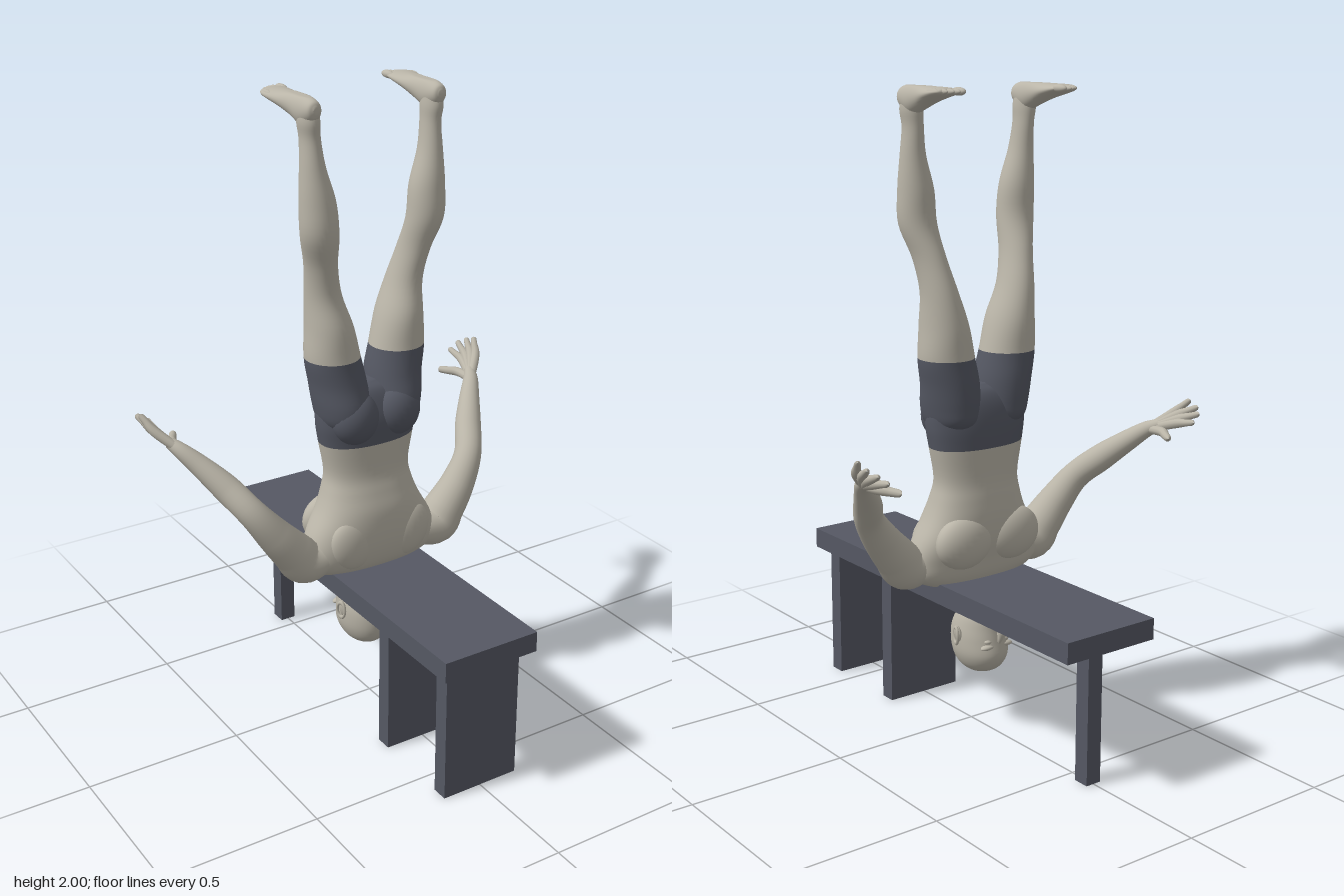
import * as THREE from 'three';

const skin = new THREE.MeshStandardMaterial({ color: 0xbab5a8 });
skin.name = 'skin';
const slate = new THREE.MeshStandardMaterial({ color: 0x555863 });
slate.name = 'slate';

// Smooth skin through horizontal rings [y, centre x, centre z, radius x, radius z].
// Rows before ring `split` use material 0, later rows material 1.
function loft(rings, { sides = 32, power = 2, split = 0 } = {}) {
  const steps = 5, rows = (rings.length - 1) * steps;
  const curve = (f) => new THREE.CatmullRomCurve3(rings.map(f), false, 'catmullrom');
  const centres = curve((r) => new THREE.Vector3(r[1], r[0], r[2]));
  const radii = curve((r) => new THREE.Vector3(r[3], r[4], 0));
  const bend = (v) => Math.sign(v) * Math.abs(v) ** (2 / power);
  const pos = [], index = [];
  for (let j = 0; j <= rows; j++) {
    const c = centres.getPoint(j / rows), r = radii.getPoint(j / rows);
    for (let i = 0; i < sides; i++) {
      const a = (i / sides) * Math.PI * 2;
      pos.push(c.x + r.x * bend(Math.cos(a)), c.y, c.z + r.y * bend(Math.sin(a)));
      if (j === rows) continue;
      const p = j * sides + i, q = j * sides + ((i + 1) % sides);
      index.push(p, p + sides, q, q, p + sides, q + sides);
    }
  }
  // end caps
  for (let i = 1; i < sides - 1; i++) {
    const e = rows * sides;
    index.push(e, e + i + 1, e + i, 0, i, i + 1);
  }
  const geo = new THREE.BufferGeometry();
  geo.setAttribute('position', new THREE.Float32BufferAttribute(pos, 3));
  geo.setIndex(index);
  geo.computeVertexNormals();
  if (split) {
    const cut = split * steps * sides * 6;
    geo.addGroup(0, cut, 0);
    geo.addGroup(cut, index.length - cut, 1);
  }
  return geo;
}

// Tapered tube through points [x, y, z, radius].
function limb(points, sides = 16) {
  const curve = new THREE.CatmullRomCurve3(points.map((p) => new THREE.Vector3(p[0], p[1], p[2])));
  curve.getPointAt = curve.getPoint;
  curve.getTangentAt = curve.getTangent;
  const radii = new THREE.CatmullRomCurve3(points.map((p) => new THREE.Vector3(p[3], 0, 0)), false, 'catmullrom');
  const rows = (points.length - 1) * 5;
  const geo = new THREE.TubeGeometry(curve, rows, 1, sides);
  const p = geo.attributes.position, n = geo.attributes.normal;
  for (let i = 0; i < p.count; i++) {
    const k = radii.getPoint(Math.floor(i / (sides + 1)) / rows).x - 1;
    p.setXYZ(i, p.getX(i) + n.getX(i) * k, p.getY(i) + n.getY(i) * k, p.getZ(i) + n.getZ(i) * k);
  }
  return geo;
}

function ellipsoid(x, y, z, rx, ry, rz, tilt = 0) {
  return new THREE.SphereGeometry(1, 24, 16).scale(rx, ry, rz).rotateZ(tilt).translate(x, y, z);
}

function mirrored(geo) {
  const g = geo.clone().scale(-1, 1, 1), ix = g.index;
  for (let i = 0; i < ix.count; i += 3) {
    const a = ix.getX(i);
    ix.setX(i, ix.getX(i + 1));
    ix.setX(i + 1, a);
  }
  return g;
}

export function createModel() {
  const model = new THREE.Group();
  model.name = 'figureOnBench';
  const group = (name) => {
    const g = new THREE.Group();
    g.name = name;
    model.add(g);
    return g;
  };
  const add = (parent, name, geo, mat = skin) => {
    const m = new THREE.Mesh(geo, mat);
    m.name = name;
    parent.add(m);
  };
  const pair = (parent, name, geo, mat) => {
    add(parent, name + 'Left', geo, mat);
    add(parent, name + 'Right', mirrored(geo), mat);
  };

  // Bench: top, two wide panels and one narrow post
  const bench = group('bench');
  const box = (name, w, h, d, y, z) =>
    add(bench, name, new THREE.BoxGeometry(w, h, d).translate(0, y, z), slate);
  box('benchTop', 0.326, 0.065, 1.32, 0.467, 0);
  box('endPanel', 0.26, 0.435, 0.052, 0.2175, 0.595);
  box('innerPanel', 0.26, 0.435, 0.052, 0.2175, 0.287);
  box('post', 0.052, 0.435, 0.052, 0.2175, -0.568);

  // Torso, with shorts from the waist upwards
  const body = group('body');
  add(body, 'torsoAndShorts', loft([
    [0.462, 0, -0.02, 0.06, 0.04], [0.485, 0, -0.01, 0.17, 0.062],
    [0.52, 0, -0.005, 0.232, 0.086], [0.57, 0, -0.003, 0.235, 0.1],
    [0.63, 0, -0.008, 0.215, 0.11], [0.70, 0, -0.012, 0.175, 0.11],
    [0.76, 0, -0.018, 0.152, 0.1], [0.82, 0, -0.022, 0.142, 0.09],
    [0.92, 0, -0.022, 0.16, 0.092], [0.99, 0, -0.02, 0.171, 0.093],
    [1.05, 0, -0.022, 0.165, 0.08], [1.09, 0, -0.022, 0.11, 0.06],
    [1.11, 0, -0.022, 0.03, 0.03],
  ], { sides: 48, power: 2.3, split: 8 }), [skin, slate]);
  pair(body, 'chestMuscle', ellipsoid(0.092, 0.63, -0.085, 0.1, 0.085, 0.055));
  pair(body, 'shoulderBlade', ellipsoid(0.1, 0.6, 0.06, 0.08, 0.09, 0.042, -0.3));
  pair(body, 'buttock', ellipsoid(0.075, 1.01, 0.035, 0.078, 0.085, 0.066), slate);

  // Legs, with shorts up to mid thigh
  const legs = group('legs');
  pair(legs, 'leg', loft([
    [0.96, 0.085, -0.01, 0.05, 0.05], [1.0, 0.09, -0.014, 0.075, 0.095],
    [1.05, 0.093, -0.016, 0.085, 0.103], [1.12, 0.1, -0.025, 0.088, 0.095],
    [1.2, 0.115, -0.028, 0.086, 0.087], [1.3, 0.125, -0.03, 0.071, 0.084],
    [1.4, 0.143, -0.032, 0.053, 0.067], [1.5, 0.162, -0.01, 0.047, 0.06],
    [1.6, 0.182, 0.02, 0.057, 0.058], [1.7, 0.188, 0.02, 0.054, 0.054],
    [1.8, 0.2, 0.016, 0.037, 0.042], [1.88, 0.204, 0.01, 0.029, 0.038],
    [1.93, 0.208, 0.01, 0.031, 0.042], [1.97, 0.209, 0.008, 0.027, 0.036],
  ], { split: 4 }), [slate, skin]);

  // Feet lie along -z with flat soles at the top
  const foot = loft([
    [-0.057, 0.21, 1.968, 0.008, 0.01], [-0.045, 0.21, 1.966, 0.024, 0.029],
    [0, 0.21, 1.96, 0.032, 0.045], [0.05, 0.21, 1.968, 0.034, 0.036],
    [0.1, 0.213, 1.976, 0.042, 0.024], [0.15, 0.216, 1.983, 0.047, 0.016],
    [0.178, 0.214, 1.986, 0.041, 0.011], [0.187, 0.212, 1.986, 0.025, 0.005],
  ]).rotateX(-Math.PI / 2);
  const fp = foot.attributes.position;
  for (let i = 0; i < fp.count; i++) fp.setY(i, Math.min(fp.getY(i), 2));
  foot.computeVertexNormals();
  pair(legs, 'foot', foot);
  [[0.183, 0.214, 0.013], [0.201, 0.216, 0.009], [0.217, 0.21, 0.009],
    [0.233, 0.2, 0.009], [0.249, 0.182, 0.009]].forEach(([x, tip, r], i) =>
    pair(legs, 'toe' + (i + 1), ellipsoid(x, 1.987, 0.03 - tip, r, Math.min(r, 0.012), 0.03)));

  // Arms
  const arms = group('arms');
  pair(arms, 'arm', limb([
    [0.16, 0.55, 0.01, 0.045], [0.245, 0.558, 0.008, 0.072], [0.285, 0.6, 0.005, 0.066],
    [0.34, 0.665, -0.003, 0.056], [0.4, 0.745, -0.03, 0.045], [0.45, 0.815, -0.1, 0.043],
    [0.5, 0.875, -0.165, 0.034], [0.54, 0.918, -0.215, 0.025], [0.56, 0.937, -0.25, 0.018],
  ], 24));

  // Hands: each finger runs from the wrist through its knuckle, so together they form the palm
  const fingers = {
    index: [[0.573, 0.95, -0.313], [0.572, 0.967, -0.388]],
    middle: [[0.586, 0.962, -0.31], [0.601, 0.99, -0.382]],
    ring: [[0.596, 0.972, -0.296], [0.62, 1.005, -0.357]],
    little: [[0.602, 0.978, -0.276], [0.624, 1.02, -0.318]],
    thumb: [[0.537, 0.922, -0.285], [0.502, 0.918, -0.35]],
  };
  for (const [name, [k, t]] of Object.entries(fingers)) {
    const mid = k.map((v, i) => v * 0.45 + t[i] * 0.55);
    const nearTip = k.map((v, i) => v * 0.08 + t[i] * 0.92);
    const r = name === 'thumb' ? 0.013 : 0.011;
    pair(arms, name + 'Finger', limb([
      [0.54, 0.918, -0.215, 0.014], [...k, 0.015], [...mid, r], [...nearTip, r * 0.8], [...t, 0.001],
    ], 10));
  }

  // Neck and head, crown pointing down and face towards -z
  const head = group('head');
  add(head, 'neck', loft([
    [0.36, 0, -0.02, 0.045, 0.045], [0.42, 0, -0.02, 0.05, 0.05],
    [0.46, 0, -0.016, 0.06, 0.054], [0.5, 0, -0.01, 0.09, 0.06],
  ]));
  add(head, 'skull', loft([
    [0.181, 0, -0.04, 0.012, 0.015], [0.187, 0, -0.04, 0.034, 0.045],
    [0.21, 0, -0.042, 0.06, 0.083], [0.25, 0, -0.044, 0.077, 0.104],
    [0.3, 0, -0.041, 0.08, 0.105], [0.34, 0, -0.044, 0.075, 0.1],
    [0.38, 0, -0.058, 0.064, 0.087], [0.41, 0, -0.065, 0.046, 0.073],
    [0.423, 0, -0.075, 0.024, 0.045], [0.426, 0, -0.075, 0.005, 0.01],
  ]));
  add(head, 'nose', limb([
    [0, 0.298, -0.14, 0.006], [0, 0.32, -0.15, 0.01], [0, 0.342, -0.155, 0.014], [0, 0.352, -0.148, 0.002],
  ], 12));
  add(head, 'lips', ellipsoid(0, 0.373, -0.143, 0.024, 0.008, 0.009));
  add(head, 'chin', ellipsoid(0, 0.402, -0.128, 0.024, 0.018, 0.018));
  pair(head, 'brow', ellipsoid(0.033, 0.288, -0.13, 0.027, 0.009, 0.014, -0.1));
  pair(head, 'eye', ellipsoid(0.032, 0.305, -0.129, 0.014, 0.008, 0.011));
  pair(head, 'ear', ellipsoid(0.079, 0.313, -0.036, 0.009, 0.029, 0.017, -0.15));
  pair(head, 'earRim', new THREE.TorusGeometry(0.02, 0.005, 8, 20)
    .scale(0.8, 1.3, 1).rotateY(Math.PI / 2 - 0.3).translate(0.086, 0.31, -0.035));

  return model;
}
